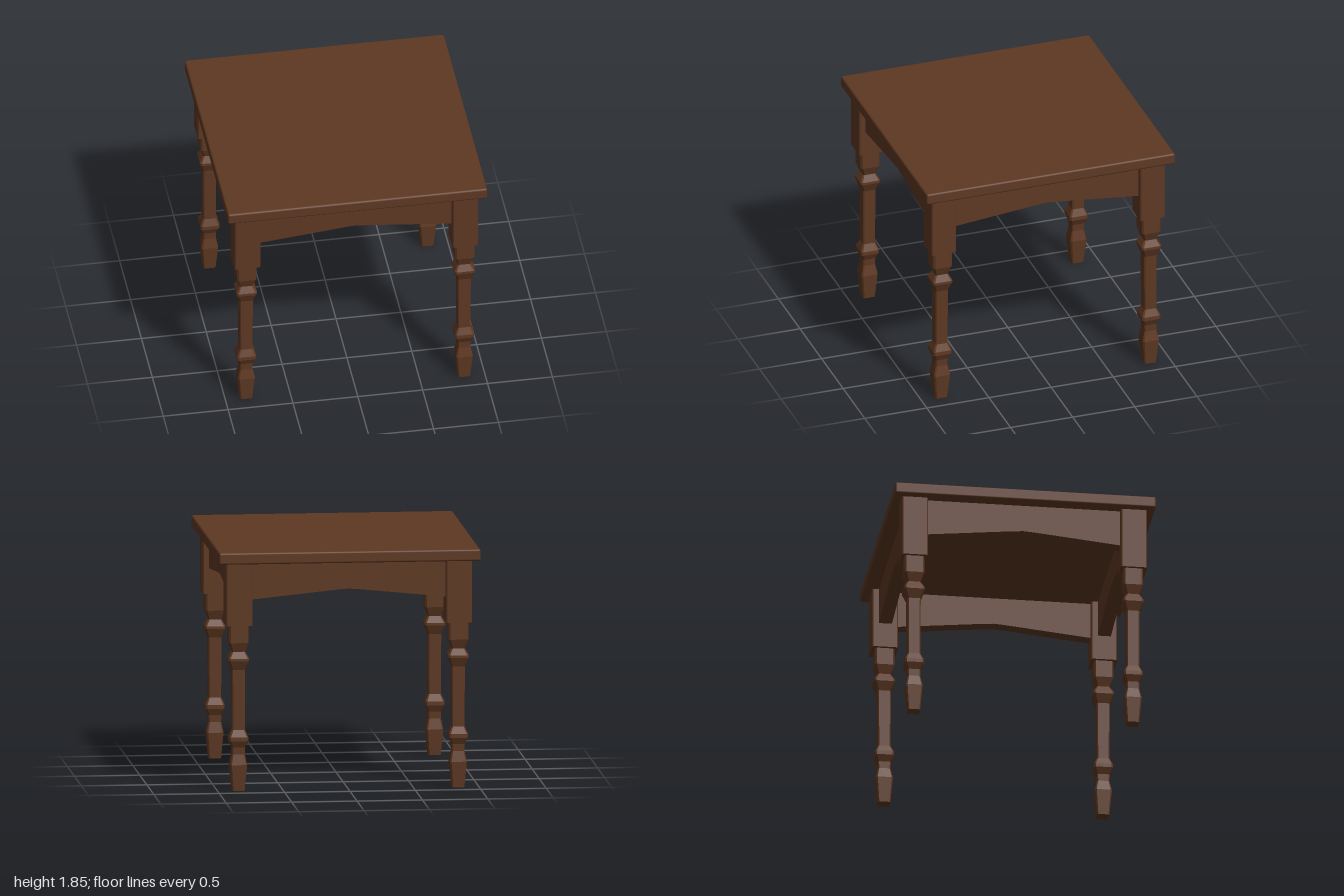
import * as THREE from 'three';
import { RoundedBoxGeometry } from 'three/addons/geometries/RoundedBoxGeometry.js';

const wood = new THREE.MeshStandardMaterial({ color: 0x5e3822 });
const LEG = 0.84; // distance of each leg and apron from the centre
const TOP_Y = 1.755; // underside of the table top

// Square section with chamfered corners, anticlockwise seen from above
function section(half, chamfer) {
  const a = half, b = half - chamfer;
  return [[a, b], [a, -b], [b, -a], [-b, -a], [-a, -b], [-a, b], [-b, a], [b, a]];
}

// Faceted column through rings of [y, half width, chamfer], listed bottom to top
function column(rings) {
  const pos = [];
  const loops = rings.map(([y, h, c]) => section(h, c).map(([x, z]) => [x, y, z]));
  const tri = (...corners) => corners.forEach((p) => pos.push(...p));
  for (let i = 0; i < loops.length - 1; i++) {
    const lo = loops[i], hi = loops[i + 1];
    for (let k = 0; k < 8; k++) {
      const n = (k + 1) % 8;
      tri(lo[k], lo[n], hi[n]);
      tri(lo[k], hi[n], hi[k]);
    }
  }
  const first = loops[0], last = loops[loops.length - 1];
  for (let k = 1; k < 7; k++) {
    tri(first[0], first[k + 1], first[k]);
    tri(last[0], last[k], last[k + 1]);
  }
  const geo = new THREE.BufferGeometry();
  geo.setAttribute('position', new THREE.Float32BufferAttribute(pos, 3));
  geo.computeVertexNormals();
  return geo;
}

function part(name, geometry) {
  const mesh = new THREE.Mesh(geometry, wood);
  mesh.name = name;
  return mesh;
}

export function createModel() {
  const table = new THREE.Group();
  table.name = 'table';

  // Square top with softened edges
  const top = part('tableTop', new RoundedBoxGeometry(2, 0.09, 2, 2, 0.015));
  top.position.y = TOP_Y + 0.045;
  table.add(top);

  // Shaped legs: tapered foot, two collars and a plain shaft under a square post
  const profile = [
    [0, 0.047], [0.2, 0.065], [0.28, 0.048], [0.335, 0.05], [0.385, 0.073],
    [0.415, 0.073], [0.47, 0.048], [0.93, 0.051], [1.0, 0.079], [1.02, 0.079],
    [1.07, 0.05], [1.14, 0.075], [1.28, 0.075],
  ].map(([y, h]) => [y, h, h * 0.18]);
  const turnedGeo = column(profile);
  const postGeo = column([[1.275, 0.1, 0.01], [TOP_Y, 0.1, 0.01]]);
  const corners = { frontLeft: [1, 1], frontRight: [-1, 1], backLeft: [1, -1], backRight: [-1, -1] };
  for (const [corner, [sx, sz]] of Object.entries(corners)) {
    const leg = new THREE.Group();
    leg.name = corner + 'Leg';
    leg.add(part('shapedLeg', turnedGeo), part('legPost', postGeo));
    leg.position.set(sx * LEG, 0, sz * LEG);
    table.add(leg);
  }

  // Aprons with a shallow arched lower edge
  const outline = new THREE.Shape([
    [-0.75, TOP_Y], [-0.75, 1.469], [-0.1, 1.535], [0, 1.543],
    [0.1, 1.535], [0.75, 1.469], [0.75, TOP_Y],
  ].map(([x, y]) => new THREE.Vector2(x, y)));
  const apronGeo = new THREE.ExtrudeGeometry(outline, { depth: 0.1, bevelEnabled: false });
  apronGeo.translate(0, 0, LEG - 0.05);
  ['front', 'left', 'back', 'right'].forEach((side, i) => {
    const apron = part(side + 'Apron', apronGeo);
    apron.rotation.y = (i * Math.PI) / 2;
    table.add(apron);
  });

  return table;
}
